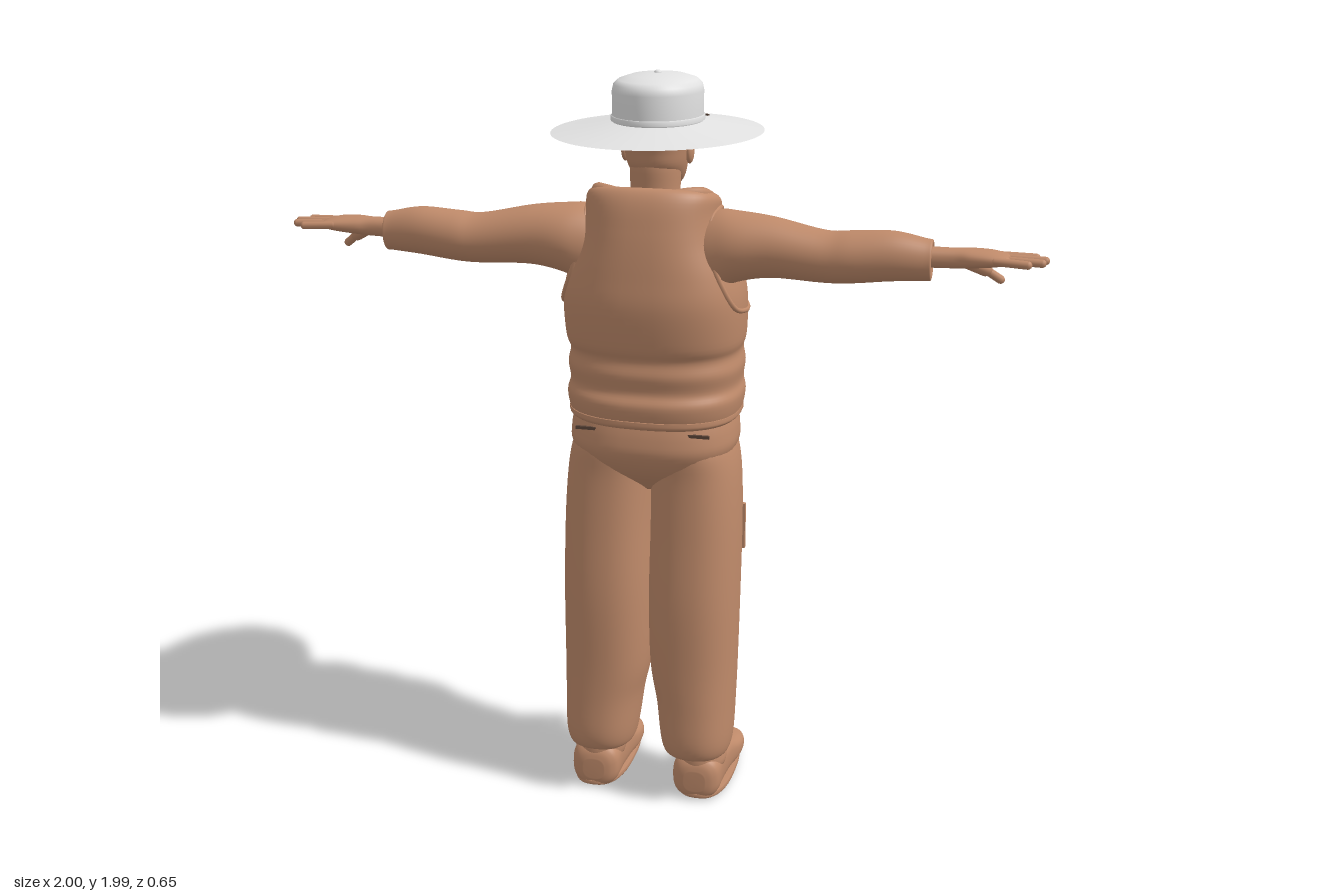
import * as THREE from 'three';

const V = (x, y, z) => new THREE.Vector3(x, y, z);
const paint = (name, color, side = THREE.FrontSide) => {
  const m = new THREE.MeshStandardMaterial({ color, side });
  m.name = name;
  return m;
};

// Axis maps for lofts: (t, a, b) -> point
const alongY = (t, a, b) => V(a, t, b); // a = x, b = z
const alongX = (t, a, b) => V(t, b, a); // a = z, b = y
const alongZ = (t, a, b) => V(b, a, t); // a = y, b = x

// Smooth skin through sections [t, centreA, radiusA, centreB, radiusB]
function loft(sections, map, power = 2, sides = 40, steps = 5) {
  const rows = [];
  const n = sections.length;
  const cr = (p0, p1, p2, p3, u) => {
    const m1 = (p2 - p0) / 2, m2 = (p3 - p1) / 2, d = p2 - p1;
    return p1 + m1 * u + (3 * d - 2 * m1 - m2) * u * u + (m1 + m2 - 2 * d) * u * u * u;
  };
  for (let i = 0; i < n - 1; i++) {
    const q = [sections[Math.max(i - 1, 0)], sections[i], sections[i + 1], sections[Math.min(i + 2, n - 1)]];
    for (let s = 0; s < steps; s++) rows.push(q[1].map((_, k) => cr(q[0][k], q[1][k], q[2][k], q[3][k], s / steps)));
  }
  rows.push(sections[n - 1]);
  const pos = [], idx = [];
  const bend = v => Math.sign(v) * Math.abs(v) ** (2 / power);
  for (const [t, a, ra, b, rb] of rows) {
    for (let j = 0; j < sides; j++) {
      const w = (j / sides) * Math.PI * 2;
      pos.push(...map(t, a + ra * bend(Math.cos(w)), b + rb * bend(Math.sin(w))).toArray());
    }
  }
  for (let i = 0; i < rows.length - 1; i++) {
    for (let j = 0; j < sides; j++) {
      const k = (j + 1) % sides, A = i * sides + j, B = i * sides + k;
      idx.push(A, A + sides, B, B, A + sides, B + sides);
    }
  }
  const last = rows.length - 1, c0 = pos.length / 3;
  for (const r of [0, last]) pos.push(...map(rows[r][0], rows[r][1], rows[r][3]).toArray());
  for (let j = 0; j < sides; j++) {
    const k = (j + 1) % sides;
    idx.push(c0, j, k, c0 + 1, last * sides + k, last * sides + j);
  }
  const g = new THREE.BufferGeometry();
  g.setAttribute('position', new THREE.Float32BufferAttribute(pos, 3));
  g.setIndex(idx);
  g.computeVertexNormals();
  return g;
}

const tube = (pts, r, closed = false) =>
  new THREE.TubeGeometry(new THREE.CatmullRomCurve3(pts, closed), pts.length * 8, r, 8, closed);

// Rounded rod between two points
function rod(a, b, r) {
  const d = b.clone().sub(a), g = new THREE.CapsuleGeometry(r, d.length(), 5, 12);
  g.applyQuaternion(new THREE.Quaternion().setFromUnitVectors(V(0, 1, 0), d.clone().normalize()));
  const m = a.clone().add(b).multiplyScalar(0.5);
  return g.translate(m.x, m.y, m.z);
}

const ball = (x, y, z, rx, ry, rz) => new THREE.SphereGeometry(1, 24, 16).scale(rx, ry, rz).translate(x, y, z);
const box = (w, h, d, x, y, z) => new THREE.BoxGeometry(w, h, d).translate(x, y, z);

export function createModel() {
  const tan = paint('tan', 0xbf8a6a);
  const white = paint('hat white', 0xe2e2e2, THREE.DoubleSide);
  const glass = paint('pale lens', 0xc9d6da);
  const dark = paint('dark slit', 0x5a4438);
  const model = new THREE.Group();
  model.name = 'figure';
  const add = (name, geo, mat = tan) => {
    const m = new THREE.Mesh(geo, mat);
    m.name = name;
    model.add(m);
  };
  // Adds a part on +x and its mirror on -x
  const pair = (name, geo, mat = tan) => {
    add(name + 'Left', geo, mat);
    const g = geo.clone().scale(-1, 1, 1), ix = g.index.array;
    for (let i = 0; i < ix.length; i += 3) [ix[i], ix[i + 1]] = [ix[i + 1], ix[i]];
    const nrm = geo.attributes.normal.clone();
    for (let i = 0; i < nrm.count; i++) nrm.setX(i, -nrm.getX(i));
    g.setAttribute('normal', nrm);
    add(name + 'Right', g, mat);
  };

  // Padded vest: [y, half width, back z, front z]
  const vest = [
    [1.095, 0.2, 0.17, -0.16], [1.105, 0.224, 0.198, -0.182], [1.16, 0.235, 0.21, -0.188],
    [1.195, 0.228, 0.196, -0.186], [1.24, 0.233, 0.203, -0.188], [1.28, 0.227, 0.196, -0.186],
    [1.32, 0.236, 0.212, -0.188], [1.42, 0.238, 0.226, -0.184], [1.5, 0.222, 0.22, -0.174],
    [1.58, 0.188, 0.209, -0.148], [1.64, 0.173, 0.195, -0.118], [1.675, 0.17, 0.172, -0.09],
    [1.69, 0.145, 0.145, -0.075], [1.68, 0.09, 0.105, -0.055],
  ];
  const tilt = y => 0.22 * THREE.MathUtils.smoothstep(y, 1.62, 1.69);
  const vestMap = (t, a, b) => V(a, t + tilt(t) * b, b);
  add('vest', loft(vest.map(([y, w, b, f]) => [y, 0, w, (b + f) / 2, (b - f) / 2]), vestMap, 2.5, 56));
  add('vestHem', loft([[1.1, 0, 0.222, 0.01, 0.19], [1.108, 0, 0.23, 0.01, 0.196], [1.122, 0, 0.23, 0.01, 0.196]], alongY, 2.5));

  // Piping round the armholes, laid on the vest surface
  const onVest = (y, z) => {
    const i = vest.findIndex(r => r[0] > y), p = vest[i - 1], q = vest[i];
    const u = (y - p[0]) / (q[0] - p[0]);
    const [, w, b, f] = p.map((v, k) => v + (q[k] - v) * u);
    const s = Math.min(1, Math.abs((z - (b + f) / 2) / ((b - f) / 2)));
    return V(w * (1 - s ** 2.5) ** 0.4, y + tilt(y) * z, z);
  };
  const hole = [[1.39, 0.02], [1.42, 0.11], [1.5, 0.145], [1.58, 0.14], [1.64, 0.1], [1.655, 0.03],
    [1.63, -0.05], [1.56, -0.085], [1.48, -0.1], [1.4, -0.1], [1.385, -0.05]];
  pair('armholeTrim', tube(hole.map(([y, z]) => onVest(y, z)), 0.007, true));

  // Collar with a notch at the nape, dropping to the chest
  add('collar', tube([V(0, 1.68, 0.125), V(0.07, 1.7, 0.13), V(0.13, 1.705, 0.1), V(0.14, 1.685, 0.03), V(0.115, 1.66, -0.04),
    V(0.06, 1.635, -0.09), V(0, 1.625, -0.1), V(-0.06, 1.635, -0.09), V(-0.115, 1.66, -0.04), V(-0.14, 1.685, 0.03),
    V(-0.13, 1.705, 0.1), V(-0.07, 1.7, 0.13)], 0.017, true));

  // Chest fastenings and closing seam
  for (const y of [1.4, 1.225]) {
    add('buckle', box(0.055, 0.036, 0.008, 0, y, -0.19));
    add('buckleInset', box(0.04, 0.022, 0.009, 0, y, -0.191));
  }

  // Sleeves: [x, z, rz, y, ry]
  pair('sleeve', loft([
    [0.1, 0.05, 0.09, 1.54, 0.1], [0.17, 0.06, 0.097, 1.555, 0.105], [0.23, 0.072, 0.092, 1.57, 0.09], [0.32, 0.078, 0.08, 1.574, 0.077],
    [0.45, 0.086, 0.07, 1.56, 0.066], [0.52, 0.09, 0.068, 1.563, 0.066], [0.62, 0.09, 0.058, 1.571, 0.063],
    [0.7, 0.086, 0.046, 1.566, 0.053], [0.718, 0.085, 0.043, 1.565, 0.05], [0.716, 0.08, 0.032, 1.567, 0.034],
  ], alongX));

  // Hands with separate fingers
  pair('palm', loft([
    [0.7, 0.073, 0.03, 1.57, 0.026], [0.77, 0.07, 0.028, 1.57, 0.025], [0.81, 0.064, 0.04, 1.571, 0.024],
    [0.86, 0.062, 0.047, 1.572, 0.02], [0.895, 0.064, 0.045, 1.572, 0.013], [0.905, 0.064, 0.038, 1.572, 0.008],
  ], alongX, 2.3, 28));
  const fingers = [[0.025, 0.966, 0.018], [0.05, 0.99, 0.048], [0.076, 0.983, 0.08], [0.1, 0.95, 0.108]];
  for (const [z, tip, tz] of fingers) pair('finger', rod(V(0.87, 1.573, z), V(tip, 1.57, tz), 0.0105));
  pair('thumb', rod(V(0.79, 1.56, 0.045), V(0.845, 1.53, 0.005), 0.017));
  pair('thumbTip', rod(V(0.845, 1.53, 0.005), V(0.882, 1.502, -0.015), 0.011));

  // Baggy trousers
  pair('trouserLeg', loft([
    [0.142, 0.137, 0.075, 0.088, 0.085], [0.145, 0.137, 0.09, 0.09, 0.105], [0.19, 0.136, 0.1, 0.089, 0.119],
    [0.29, 0.131, 0.108, 0.079, 0.125], [0.4, 0.122, 0.119, 0.071, 0.13], [0.6, 0.12, 0.123, 0.062, 0.136],
    [0.8, 0.12, 0.122, 0.045, 0.137], [0.94, 0.115, 0.12, 0.03, 0.142], [1.02, 0.108, 0.113, 0.022, 0.15],
    [1.07, 0.1, 0.1, 0.02, 0.14],
  ], alongY, 2.3));
  add('trouserSeat', loft([
    [0.9, 0, 0.1, 0.03, 0.07], [0.96, 0, 0.18, 0.025, 0.14], [1.02, 0, 0.221, 0.023, 0.176],
    [1.07, 0, 0.224, 0.018, 0.18], [1.12, 0, 0.215, 0.015, 0.17],
  ], alongY, 2.5));
  pair('legPocketSlit', box(0.008, 0.13, 0.012, 0.239, 0.775, -0.012));
  pair('hipPocketSlit', box(0.06, 0.008, 0.008, 0.15, 1.085, 0.172), dark);

  // Shoes and ankles: [z, y, ry, x, rx]
  pair('shoe', loft([
    [-0.186, 0.035, 0.014, 0.155, 0.035], [-0.175, 0.036, 0.025, 0.154, 0.058], [-0.13, 0.04, 0.034, 0.152, 0.076],
    [-0.07, 0.048, 0.044, 0.15, 0.079], [0.0, 0.064, 0.06, 0.148, 0.072], [0.08, 0.072, 0.068, 0.147, 0.068],
    [0.14, 0.07, 0.065, 0.146, 0.067], [0.162, 0.066, 0.052, 0.146, 0.052], [0.17, 0.064, 0.03, 0.146, 0.03],
  ], alongZ, 2.7));
  pair('ankle', loft([[0.09, 0.146, 0.068, 0.085, 0.074], [0.115, 0.146, 0.072, 0.085, 0.08], [0.18, 0.14, 0.065, 0.085, 0.075]], alongY));
  pair('sole', loft([[0.006, 0.15, 0.06, -0.01, 0.15], [0.012, 0.15, 0.076, -0.008, 0.174], [0.026, 0.15, 0.077, -0.008, 0.176]], alongY, 2.6));

  // Neck, head and face (facing -z)
  add('neck', loft([[1.58, 0, 0.085, 0.03, 0.085], [1.68, 0, 0.066, 0.028, 0.064], [1.76, 0, 0.066, 0.025, 0.068], [1.8, 0, 0.06, 0.025, 0.06]], alongY));
  add('head', loft([
    [1.69, 0, 0.02, -0.06, 0.018], [1.7, 0, 0.043, -0.05, 0.042], [1.725, 0, 0.063, -0.025, 0.068], [1.76, 0, 0.075, 0.0, 0.09],
    [1.8, 0, 0.082, 0.008, 0.094], [1.84, 0, 0.086, 0.008, 0.102], [1.9, 0, 0.08, 0.008, 0.094], [1.95, 0, 0.04, 0.008, 0.05],
  ], alongY, 2.2));
  add('nose', loft([[1.748, 0, 0.012, -0.09, 0.014], [1.757, 0, 0.017, -0.093, 0.024], [1.78, 0, 0.011, -0.088, 0.018], [1.805, 0, 0.009, -0.083, 0.01]], alongY, 2, 20));
  for (const y of [1.724, 1.734]) add('lip', ball(0, y, -0.09, 0.024, 0.006, 0.009));
  pair('ear', ball(0.085, 1.795, 0.005, 0.011, 0.032, 0.02));

  // Glasses
  pair('lens', ball(0.038, 1.8, -0.092, 0.032, 0.021, 0.008), glass);
  pair('templeArm', rod(V(0.07, 1.806, -0.088), V(0.092, 1.808, 0.0), 0.004), glass);
  add('bridge', rod(V(-0.012, 1.804, -0.098), V(0.012, 1.804, -0.098), 0.004), glass);

  // Wide oval hat
  const oval = pts => new THREE.LatheGeometry(pts.map(p => new THREE.Vector2(...p)), 72).scale(1, 1, 1.2);
  add('brim', oval([[0.27, 1.844], [0.24, 1.849], [0.19, 1.857], [0.145, 1.865], [0.114, 1.87]]), white);
  add('crown', oval([[0.114, 1.868], [0.117, 1.874], [0.115, 1.91], [0.116, 1.945], [0.112, 1.963], [0.1, 1.974],
    [0.07, 1.984], [0.03, 1.989], [0, 1.99]]), white);
  add('brimLining', oval([[0.195, 1.83], [0.193, 1.836], [0.11, 1.852]]), white);
  add('headband', oval([[0.104, 1.83], [0.108, 1.87]]), white);
  add('hatBand', oval([[0.119, 1.873], [0.119, 1.884], [0.116, 1.886]]), white);
  add('hatButton', ball(0, 1.99, 0, 0.01, 0.006, 0.01), white);
  const slit = box(0.032, 0.004, 0.007, 0, 0, 0).rotateY(-0.4).translate(0.09, 1.869, -0.128);
  pair('brimSlit', slit, dark);

  return model;
}
